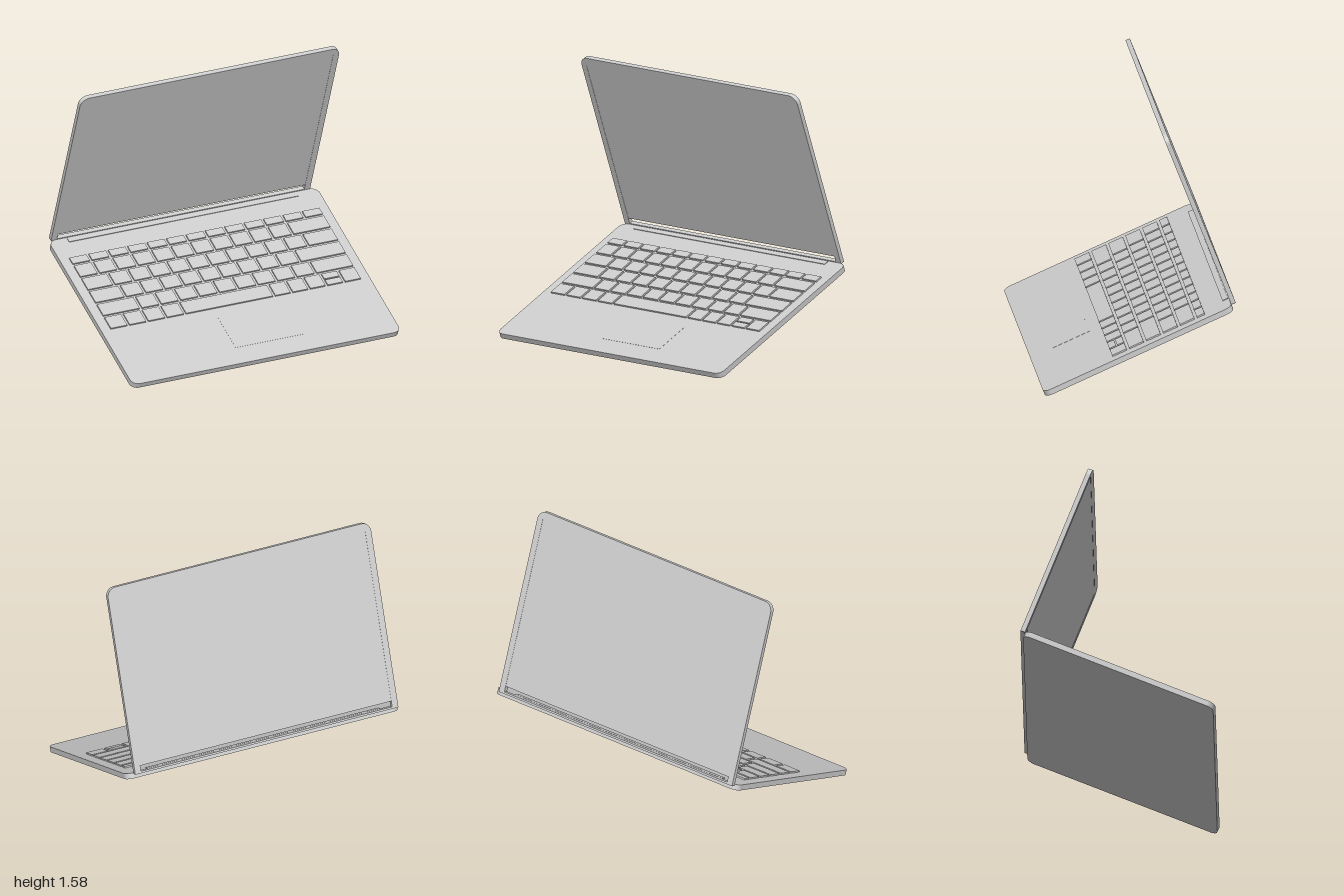
import * as THREE from 'three';

const material = new THREE.MeshStandardMaterial({ color: 0xcccccc });
const deg = THREE.MathUtils.degToRad;

function addMesh(parent, name, geometry, x = 0, y = 0, z = 0) {
  const mesh = new THREE.Mesh(geometry, material);
  mesh.name = name;
  mesh.position.set(x, y, z);
  parent.add(mesh);
  return mesh;
}

// Rectangle outline with separate radii for the bottom and top corners
function roundedRect(x0, y0, x1, y1, rBottom, rTop) {
  const s = new THREE.Shape();
  const q = Math.PI / 2;
  s.absarc(x1 - rBottom, y0 + rBottom, rBottom, -q, 0);
  s.absarc(x1 - rTop, y1 - rTop, rTop, 0, q);
  s.absarc(x0 + rTop, y1 - rTop, rTop, q, 2 * q);
  s.absarc(x0 + rBottom, y0 + rBottom, rBottom, 2 * q, 3 * q);
  s.closePath();
  return s;
}

function slab(shape, depth) {
  const g = new THREE.ExtrudeGeometry(shape, { depth, bevelEnabled: false, curveSegments: 8 });
  return g.translate(0, 0, -depth / 2);
}

// Key widths per row, in units; rows run from back to front
const LETTER_ROWS = [
  [1, 1, 1, 1, 1, 1, 1, 1, 1, 1, 1, 2],
  [1.4, 1, 1, 1, 1, 1, 1, 1, 1, 1, 1, 1.6],
  [1.6, 1, 1, 1, 1, 1, 1, 1, 1, 1, 2.4],
  [2, 1, 1, 1, 1, 1, 1, 1, 1, 1, 2],
  [0.97, 0.97, 0.97, 0.97, 4.6, 0.9, 0.9, 0.9, 0.9, 0.92],
];
const SPLIT_KEY = 8; // the stacked pair in the front row

function buildKeyboard(top) {
  const keyboard = new THREE.Group();
  keyboard.name = 'keyboard';
  const halfWidth = 0.825, gap = 0.016, rise = 0.009;

  const addKey = (x, z, w, d) =>
    addMesh(keyboard, 'key', new THREE.BoxGeometry(w - gap, rise, d - gap),
      x + w / 2, top + rise / 2, z + d / 2);

  const addRow = (units, z, depth, splitIndex = -1) => {
    const total = units.reduce((a, b) => a + b, 0);
    let x = -halfWidth;
    units.forEach((u, i) => {
      const w = (u / total) * 2 * halfWidth;
      if (i === splitIndex) {
        addKey(x, z, w, depth / 2 + gap / 4);
        addKey(x, z + depth / 2 - gap / 4, w, depth / 2 + gap / 4);
      } else addKey(x, z, w, depth);
      x += w;
    });
  };

  addRow(new Array(13).fill(1), -0.45, 0.066);
  LETTER_ROWS.forEach((row, i) =>
    addRow(row, -0.384 + i * 0.109, 0.109, i === 4 ? SPLIT_KEY : -1));
  return keyboard;
}

// Base slab with keyboard, trackpad and hinge strip
function buildBase() {
  const base = new THREE.Group();
  base.name = 'base';
  const w = 0.878, d = 0.606, t = 0.034;
  addMesh(base, 'baseBody', slab(roundedRect(-w, -d, w, d, 0.045, 0.045), t).rotateX(-Math.PI / 2));
  base.add(buildKeyboard(t / 2));
  addMesh(base, 'trackpad', new THREE.BoxGeometry(0.45, 0.002, 0.255), 0.075, t / 2, 0.353);
  addMesh(base, 'hingeStrip', new THREE.BoxGeometry(1.5, 0.012, 0.034), -0.01, t / 2 - 0.002, -0.584);
  return base;
}

// Lid frame with the screen panel set in it, leaving a slot above the hinge
function buildLid() {
  const lid = new THREE.Group();
  lid.name = 'lid';
  const w = 0.847, h = 1.138, t = 0.028, inner = 0.809, innerTop = 1.09;
  const frame = roundedRect(-w, 0, w, h, 0.004, 0.055);
  frame.holes.push(new THREE.Path([
    [-inner, 0.012], [-inner, innerTop], [inner, innerTop], [inner, 0.012],
  ].map(([x, y]) => new THREE.Vector2(x, y))));
  addMesh(lid, 'lidFrame', slab(frame, t));
  const bottom = 0.046;
  addMesh(lid, 'screen', new THREE.BoxGeometry(2 * inner, innerTop - bottom, t - 0.003),
    0, (innerTop + bottom) / 2, 0);
  return lid;
}

export function createModel() {
  const laptop = new THREE.Group();
  laptop.name = 'laptop';
  laptop.rotation.y = deg(18.45);

  const base = buildBase();
  base.position.y = 0.256;
  base.rotation.x = deg(23.4);

  const lid = buildLid();
  lid.position.set(-0.013, 0.511, -0.566);
  lid.rotation.x = deg(20.7);

  laptop.add(base, lid);
  const model = new THREE.Group();
  model.name = 'model';
  model.add(laptop);
  return model;
}
